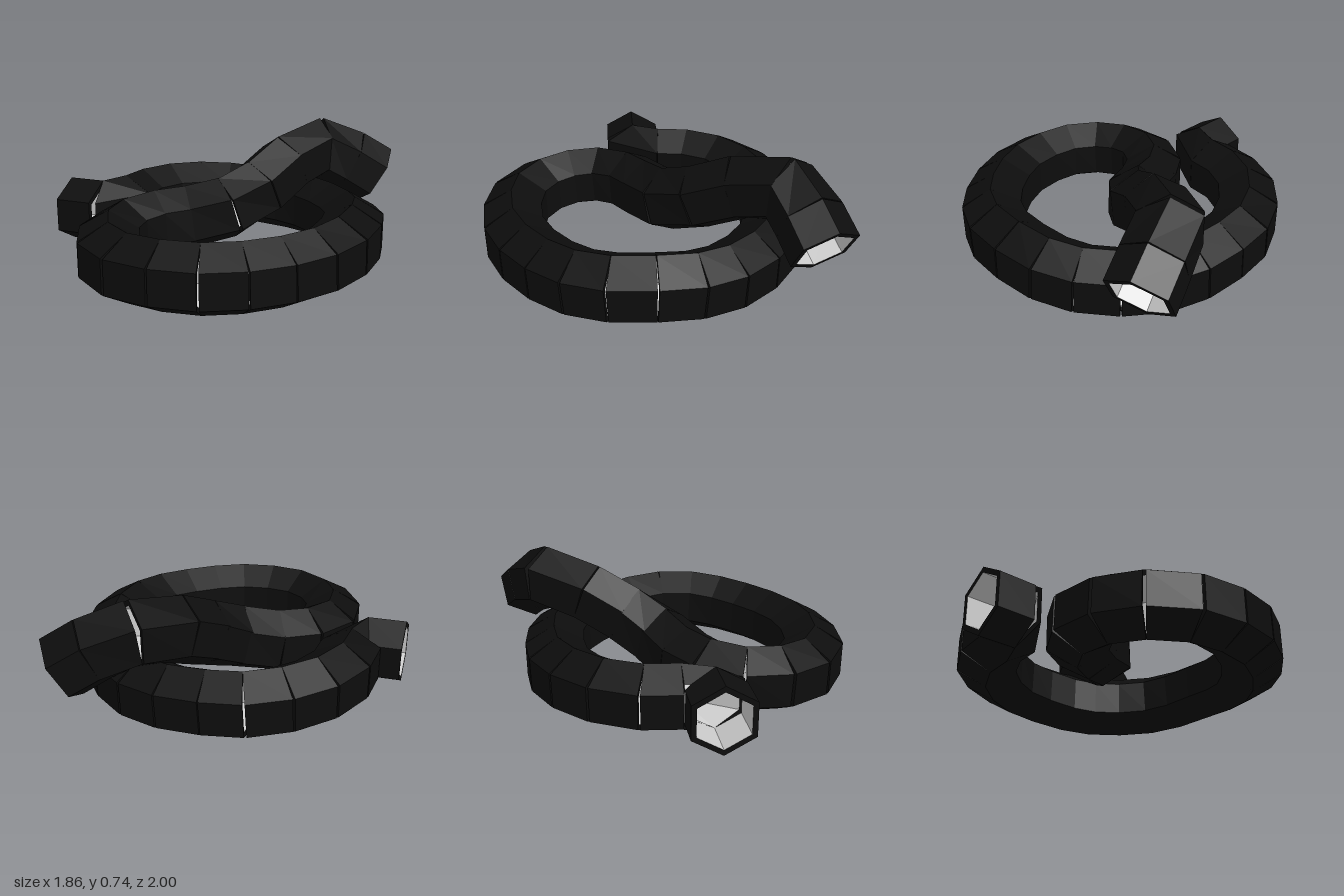
import * as THREE from 'three';

const OUTER = 0.19, INNER = 0.158, SIDES = 6;

// Centre of every joint along the looped hose: x, y, z
const PATH = [
  [-0.93, 0.235, 0.15], [-0.715, 0.235, 0.14], [-0.655, 0.235, -0.025], [-0.64, 0.235, -0.21],
  [-0.55, 0.235, -0.405], [-0.405, 0.23, -0.55], [-0.23, 0.22, -0.64], [-0.04, 0.21, -0.665],
  [0.17, 0.2, -0.66], [0.35, 0.195, -0.61], [0.51, 0.195, -0.5], [0.645, 0.2, -0.35],
  [0.73, 0.215, -0.18], [0.765, 0.23, 0.02], [0.755, 0.225, 0.23], [0.685, 0.21, 0.41],
  [0.565, 0.198, 0.565], [0.41, 0.192, 0.7], [0.235, 0.19, 0.795], [0.035, 0.19, 0.83],
  [-0.165, 0.19, 0.81], [-0.34, 0.192, 0.7], [-0.435, 0.2, 0.535], [-0.445, 0.21, 0.345],
  [-0.345, 0.225, 0.165], [-0.19, 0.24, 0.05], [0.005, 0.29, -0.065], [0.13, 0.375, -0.235],
  [0.22, 0.485, -0.45], [0.36, 0.552, -0.69], [0.54, 0.475, -0.775], [0.69, 0.38, -0.835],
].map((p) => new THREE.Vector3(...p));

const UP = new THREE.Vector3(0, 1, 0);

// Hexagon with a corner on top, square to the direction n
function ring(centre, n, radius) {
  const right = n.clone().cross(UP).normalize();
  const up = right.clone().cross(n);
  return Array.from({ length: SIDES }, (_, i) => {
    const a = (i / SIDES) * Math.PI * 2;
    return centre.clone()
      .addScaledVector(up, Math.cos(a) * radius)
      .addScaledVector(right, Math.sin(a) * radius);
  });
}

// Strips of quads joining each ring to the next
function skin(rings) {
  const pos = [];
  for (let r = 0; r < rings.length - 1; r++) {
    for (let i = 0; i < SIDES; i++) {
      const j = (i + 1) % SIDES;
      const a = rings[r][i], b = rings[r][j], c = rings[r + 1][j], d = rings[r + 1][i];
      for (const v of [a, b, c, a, c, d]) pos.push(v.x, v.y, v.z);
    }
  }
  const geo = new THREE.BufferGeometry();
  geo.setAttribute('position', new THREE.Float32BufferAttribute(pos, 3));
  geo.computeVertexNormals();
  return geo;
}

export function createModel() {
  const group = new THREE.Group();
  group.name = 'loopedHose';
  const black = new THREE.MeshStandardMaterial({ color: 0x0d0d0d, flatShading: true, side: THREE.DoubleSide });
  const grey = new THREE.MeshStandardMaterial({ color: 0xcccccc, flatShading: true, side: THREE.DoubleSide });

  const last = PATH.length - 1;
  const dirs = PATH.slice(1).map((p, i) => p.clone().sub(PATH[i]).normalize());
  const bisector = (k) => dirs[Math.max(k - 1, 0)].clone().add(dirs[Math.min(k, last - 1)]).normalize();

  // Ends lean mostly to the joint's bisector, leaving a thin wedge open outside each bend
  const endNormal = (joint, seg) => bisector(joint).lerp(dirs[seg], 0.22).normalize();

  for (let s = 0; s < last; s++) {
    let n0 = endNormal(s, s), n1 = endNormal(s + 1, s);
    // Sharp kink beside the straight inlet
    if (s === 0) { n0 = new THREE.Vector3(1, 0, 0); n1 = n0.clone(); }
    if (s === 1) { n0 = new THREE.Vector3(0.97, 0, -0.25).normalize(); n1 = new THREE.Vector3(0.05, 0, -1).normalize(); }
    if (s === 2) n0 = new THREE.Vector3(0.04, 0, -1).normalize();

    const o0 = ring(PATH[s], n0, OUTER), o1 = ring(PATH[s + 1], n1, OUTER);
    const i0 = ring(PATH[s], n0, INNER), i1 = ring(PATH[s + 1], n1, INNER);

    const segment = new THREE.Group();
    segment.name = `hoseSegment${s + 1}`;
    const shell = new THREE.Mesh(skin([i0, o0, o1, i1]), black);
    shell.name = 'outerShell';
    const lining = new THREE.Mesh(skin([i1, i0]), grey);
    lining.name = 'innerLining';
    segment.add(shell, lining);
    group.add(segment);
  }
  return group;
}
